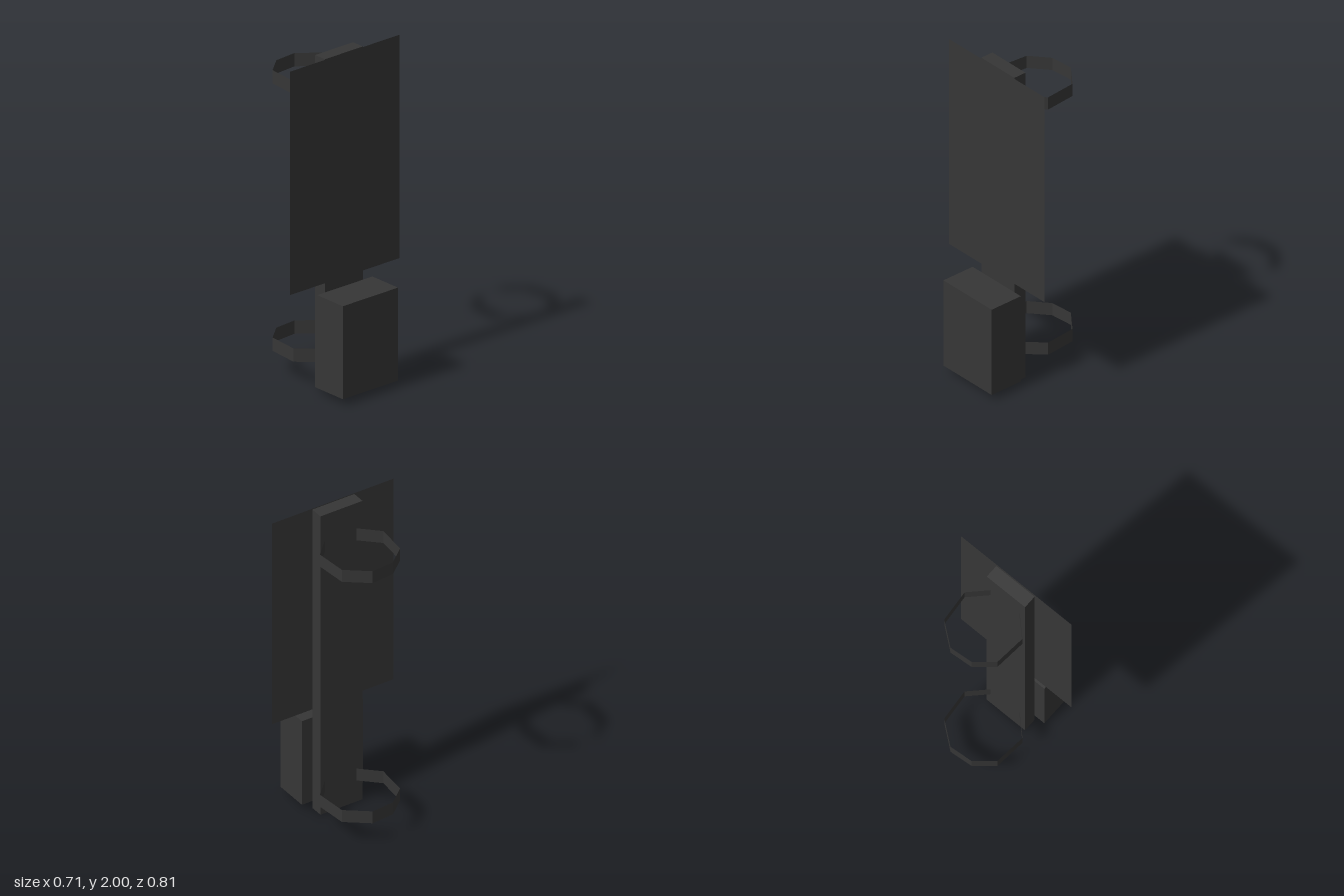
import * as THREE from 'three';

export function createModel() {
  const model = new THREE.Group();
  const darkGrey = new THREE.MeshStandardMaterial({ color: 0x363636, flatShading: true });
  const darkGreySheet = new THREE.MeshStandardMaterial({ color: 0x363636, flatShading: true, side: THREE.DoubleSide });

  function add(name, geometry, material, x = 0, y = 0, z = 0) {
    const mesh = new THREE.Mesh(geometry, material);
    mesh.name = name;
    mesh.position.set(x, y, z);
    model.add(mesh);
    return mesh;
  }

  // Upright board, control box and flat sign panel
  add('backBoard', new THREE.BoxGeometry(0.082, 2, 0.28), darkGrey, 0.09, 1, 0);
  add('controlBox', new THREE.BoxGeometry(0.215, 0.56, 0.408), darkGrey, 0.2465, 0.32, 0);
  const panel = add('signPanel', new THREE.PlaneGeometry(0.81, 1.345), darkGreySheet, 0.138, 1.3275, 0);
  panel.rotation.y = Math.PI / 2;

  // Open strap as a thin band following the [x, z] outline
  const outline = [
    [0.055, -0.105], [-0.055, -0.213], [-0.25, -0.195], [-0.355, -0.06],
    [-0.343, 0.083], [-0.25, 0.193], [-0.055, 0.21], [0.055, 0.095],
  ];
  function strapGeometry(height) {
    const positions = [];
    const indices = [];
    outline.forEach(([x, z], i) => {
      positions.push(x, -height / 2, z, x, height / 2, z);
      if (i > 0) {
        const a = (i - 1) * 2;
        indices.push(a, a + 1, a + 2, a + 2, a + 1, a + 3);
      }
    });
    const geometry = new THREE.BufferGeometry();
    geometry.setAttribute('position', new THREE.Float32BufferAttribute(positions, 3));
    geometry.setIndex(indices);
    geometry.computeVertexNormals();
    return geometry;
  }

  // Two pole straps, top and bottom
  const strap = strapGeometry(0.08);
  add('upperStrap', strap, darkGreySheet, 0, 1.79, 0);
  add('lowerStrap', strap, darkGreySheet, 0, 0.18, 0);

  return model;
}
